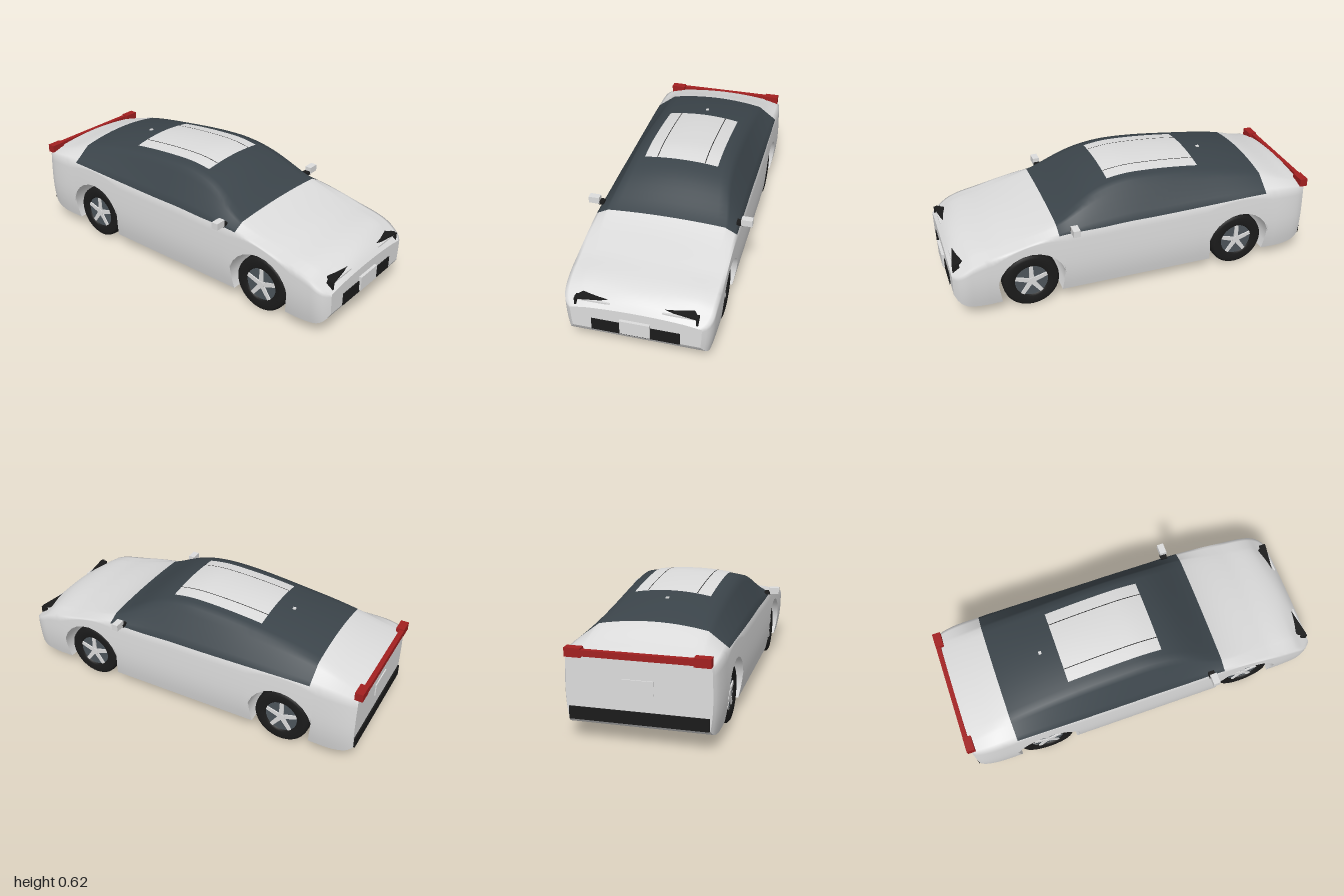
import * as THREE from 'three';
import { toCreasedNormals } from 'three/addons/utils/BufferGeometryUtils.js';

const mat = (name, color, extra = {}) => {
  const m = new THREE.MeshStandardMaterial({ color, ...extra });
  m.name = name;
  return m;
};

// Body sections: z, half width, bottom, belt line, roof edge x, roof edge y, crown y
const KEYS = [
  [0.985, 0.325, 0.14, 0.255, 0.24, 0.268, 0.278],
  [0.965, 0.35, 0.105, 0.265, 0.26, 0.282, 0.302],
  [0.93, 0.368, 0.078, 0.285, 0.27, 0.303, 0.33],
  [0.88, 0.374, 0.066, 0.315, 0.28, 0.335, 0.352],
  [0.7, 0.378, 0.065, 0.36, 0.29, 0.372, 0.388],
  [0.435, 0.378, 0.065, 0.41, 0.31, 0.443, 0.455],
  [0.2, 0.378, 0.065, 0.415, 0.27, 0.56, 0.583],
  [0.05, 0.378, 0.065, 0.42, 0.26, 0.592, 0.616],
  [-0.1, 0.378, 0.065, 0.42, 0.26, 0.592, 0.618],
  [-0.4, 0.378, 0.065, 0.425, 0.26, 0.562, 0.594],
  [-0.735, 0.376, 0.065, 0.43, 0.27, 0.505, 0.532],
  [-0.9, 0.372, 0.068, 0.425, 0.28, 0.452, 0.476],
  [-0.96, 0.36, 0.09, 0.415, 0.29, 0.433, 0.458],
  [-0.98, 0.35, 0.11, 0.41, 0.3, 0.425, 0.45],
];

// Smooth interpolation of the section table
function section(z) {
  let i = 0;
  while (i < KEYS.length - 2 && z < KEYS[i + 1][0]) i++;
  const slope = (a, c) => (KEYS[a + 1][c] - KEYS[a][c]) / (KEYS[a + 1][0] - KEYS[a][0]);
  const tangent = (k, c) => (slope(Math.max(k - 1, 0), c) + slope(Math.min(k, KEYS.length - 2), c)) / 2;
  const h = KEYS[i + 1][0] - KEYS[i][0], t = (z - KEYS[i][0]) / h, t2 = t * t, t3 = t2 * t;
  const at = (c) => (2 * t3 - 3 * t2 + 1) * KEYS[i][c] + (t3 - 2 * t2 + t) * h * tangent(i, c)
    + (3 * t2 - 2 * t3) * KEYS[i + 1][c] + (t3 - t2) * h * tangent(i + 1, c);
  return { w: at(1), bottom: at(2), belt: at(3), xe: at(4), ye: at(5), top: at(6) };
}
const sideX = (w, y) => w * (1 - (y < 0.25 ? 0.06 * ((0.25 - y) / 0.185) ** 2 : 0.015 * ((y - 0.25) / 0.17) ** 2));
const roofY = (x, z) => { const s = section(z); return s.ye + (s.top - s.ye) * (1 - (x / s.xe) ** 2); };

const AXLES = [0.585, -0.585], WHEEL_Y = 0.15, ARCH_R = 0.182, SIDE = 8, PILLAR = 5, ROOF = 7;

// Stations from nose to tail; in the arches the lower end follows a circle
function makeStations() {
  const list = [];
  const plain = (from, to, n) => {
    for (let i = 0; i <= n; i++) {
      const z = from + (to - from) * i / n;
      list.push({ zt: z, zb: z, yb: section(z).bottom });
    }
  };
  const arch = (c) => {
    const low = Math.asin((0.065 - WHEEL_Y) / ARCH_R);
    for (let k = 0; k <= 16; k++) {
      const a = low + (Math.PI - 2 * low) * k / 16;
      list.push({ zt: c + 0.2 - 0.025 * k, zb: c + ARCH_R * Math.cos(a), yb: WHEEL_Y + ARCH_R * Math.sin(a) });
    }
  };
  plain(0.985, 0.81, 12);
  arch(AXLES[0]);
  plain(0.36, -0.36, 20);
  arch(AXLES[1]);
  plain(-0.81, -0.98, 10);
  return list;
}

// Outline from the left sill over the roof to the right sill
function ring({ zt, zb, yb }) {
  const s = section(zt), half = [];
  for (let i = 0; i <= SIDE; i++) {
    const v = i / SIDE, y = yb + (s.belt - yb) * v, z = zb + (zt - zb) * v;
    half.push([sideX(section(z).w, y), y, z]);
  }
  const [bx, by] = half[SIDE];
  for (let i = 1; i <= PILLAR; i++) {
    const v = i / PILLAR;
    half.push([bx + (s.xe - bx) * v, by + (s.ye - by) * v, zt]);
  }
  for (let i = 1; i <= ROOF; i++) {
    const x = s.xe * (1 - i / ROOF);
    half.push([x, s.ye + (s.top - s.ye) * (1 - (x / s.xe) ** 2), zt]);
  }
  return [...half, ...half.slice(0, -1).reverse().map(([x, y, z]) => [-x, y, z])];
}

// Skin over rows of points, with the cells sorted into two material groups
function skin(rows, isSecond = () => false) {
  const n = rows[0].length, parts = [[], []];
  for (let i = 0; i < rows.length - 1; i++) for (let j = 0; j < n - 1; j++) {
    const a = i * n + j, b = a + n;
    parts[isSecond(i, j) ? 1 : 0].push(a, b, a + 1, b, b + 1, a + 1);
  }
  const g = new THREE.BufferGeometry();
  g.setAttribute('position', new THREE.Float32BufferAttribute(rows.flat(2), 3));
  g.setIndex([...parts[0], ...parts[1]]);
  g.addGroup(0, parts[0].length, 0);
  g.addGroup(parts[0].length, parts[1].length, 1);
  g.computeVertexNormals();
  return g;
}

export function createModel() {
  const car = new THREE.Group();
  car.name = 'car';
  const paint = mat('silver white paint', 0xdcdcdc);
  const glass = mat('dark glass', 0x3b444a);
  const black = mat('black trim', 0x1b1b1b);
  const red = mat('red light', 0xa32020);
  const rimGrey = mat('rim grey', 0x4d555b);
  const seam = mat('seam black', 0x222222, { side: THREE.DoubleSide });
  const add = (name, geo, m, parent = car) => {
    const mesh = new THREE.Mesh(geo, m);
    mesh.name = name;
    parent.add(mesh);
    return mesh;
  };
  // Box given by its limits on each axis
  const box = (name, m, [x0, x1], [y0, y1], [z0, z1], parent) => {
    const b = add(name, new THREE.BoxGeometry(x1 - x0, y1 - y0, z1 - z0), m, parent);
    b.position.set((x0 + x1) / 2, (y0 + y1) / 2, (z0 + z1) / 2);
    return b;
  };

  // Body shell with glasshouse, underside and flat ends
  const stations = makeStations(), rows = stations.map(ring), last = rows[0].length - 1;
  const isGlass = (i, j) => j >= SIDE && j < last - SIDE
    && stations[i].zt < 0.436 && stations[i + 1].zt > -0.736;
  add('bodyShell', skin(rows, isGlass), [paint, glass]);
  const floor = rows.map((r) => [r[last], [0, r[0][1], r[0][2]], r[0]]);
  add('underside', toCreasedNormals(skin(floor), 0.5), paint);
  const endCap = (r) => new THREE.ShapeGeometry(new THREE.Shape(r.map(([x, y]) => new THREE.Vector2(x, y))));
  add('noseFace', endCap(rows[0]), paint).position.z = 0.985;
  const tail = add('tailFace', endCap(rows[rows.length - 1]), paint);
  tail.rotation.y = Math.PI;
  tail.position.z = -0.98;

  // Roof panel and its seams, draped on the roof
  const drape = (name, m, x0, x1, lift, nx) => {
    const rowsR = [];
    for (let i = 0; i <= 20; i++) {
      const z = 0.125 - 0.515 * i / 20, row = [];
      for (let j = 0; j <= nx; j++) {
        const x = x1 + (x0 - x1) * j / nx;
        row.push([x, roofY(x, z) + lift, z]);
      }
      rowsR.push(row);
    }
    add(name, skin(rowsR), m);
  };
  drape('roofPanel', paint, -0.2, 0.2, 0.005, 12);
  for (const s of [-1, 1]) drape('roofSeam', seam, s * 0.13 - 0.002, s * 0.13 + 0.002, 0.0065, 1);
  const ay = roofY(0, -0.48);
  box('antenna', paint, [-0.008, 0.008], [ay - 0.005, ay + 0.006], [-0.488, -0.472]);

  // Nose and tail details
  box('frontIntake', black, [-0.22, 0.22], [0.14, 0.206], [0.97, 0.99]);
  box('frontPlate', paint, [-0.075, 0.075], [0.152, 0.23], [0.98, 1]);
  box('rearBumper', black, [-0.335, 0.335], [0.11, 0.172], [-0.988, -0.95]);
  box('rearPlate', paint, [-0.075, 0.075], [0.255, 0.325], [-0.986, -0.97]);
  box('lightBar', red, [-0.34, 0.34], [0.423, 0.453], [-1, -0.975]);

  // Headlights, tail light ends and mirrors on both sides
  for (const s of [-1, 1]) {
    const span = (a, b) => (s > 0 ? [a, b] : [-b, -a]);
    const lid = new THREE.Shape([[0.11, -0.945], [0.295, -0.975], [0.305, -0.96], [0.265, -0.905], [0.13, -0.932]]
      .map(([x, y]) => new THREE.Vector2(s * x, y)));
    const lidGeo = new THREE.ExtrudeGeometry(lid, { depth: 0.009, bevelEnabled: false });
    lidGeo.rotateX(-Math.PI / 2);
    add('headlightLid', lidGeo, black).position.y = 0.3;
    box('headlightLens', paint, span(0.13, 0.285), [0.291, 0.3], [0.93, 0.968]);
    box('headlightCorner', black, span(0.295, 0.305), [0.266, 0.305], [0.94, 0.976]);
    box('tailLightEnd', red, span(0.265, 0.345), [0.416, 0.46], [-1, -0.957]);
    box('mirrorArm', black, span(0.355, 0.388), [0.422, 0.44], [0.34, 0.375]);
    box('mirror', paint, span(0.38, 0.438), [0.427, 0.463], [0.342, 0.378]);
  }

  // Wheels face +x, and are turned around for the right side
  const tyre = new THREE.LatheGeometry([[0.088, -0.047], [0.135, -0.047], [0.147, -0.038], [0.15, -0.02],
    [0.147, -0.016], [0.15, -0.012], [0.15, 0.012], [0.147, 0.016], [0.15, 0.02], [0.147, 0.038],
    [0.135, 0.047], [0.095, 0.047], [0.088, 0.036]].map(([r, y]) => new THREE.Vector2(r, y)), 40);
  tyre.rotateZ(-Math.PI / 2);
  const disc = new THREE.CylinderGeometry(0.09, 0.09, 0.07, 32).rotateZ(-Math.PI / 2);
  const hub = new THREE.CylinderGeometry(0.02, 0.02, 0.014, 20).rotateZ(-Math.PI / 2);
  const spokeShape = new THREE.Shape([[-0.013, 0], [0.013, 0], [0.01, 0.088], [-0.01, 0.088]]
    .map(([x, y]) => new THREE.Vector2(x, y)));
  const spoke = new THREE.ExtrudeGeometry(spokeShape, { depth: 0.008, bevelEnabled: false }).rotateY(Math.PI / 2);
  for (const z of AXLES) {
    const drum = add('axleDrum', new THREE.CylinderGeometry(0.145, 0.145, 0.49, 40), black);
    drum.rotation.z = Math.PI / 2;
    drum.position.set(0, WHEEL_Y, z);
    for (const s of [-1, 1]) {
      const wheel = new THREE.Group();
      wheel.name = (z > 0 ? 'front' : 'rear') + (s > 0 ? 'Left' : 'Right') + 'Wheel';
      wheel.position.set(s * 0.303, WHEEL_Y, z);
      if (s < 0) wheel.rotation.y = Math.PI;
      add('tyre', tyre, black, wheel);
      add('rimDisc', disc, rimGrey, wheel);
      add('hub', hub, paint, wheel).position.x = 0.038;
      for (let k = 0; k < 5; k++) {
        const sp = add('spoke', spoke, paint, wheel);
        sp.position.x = 0.034;
        sp.rotation.x = k * Math.PI * 0.4;
      }
      car.add(wheel);
    }
  }
  return car;
}
